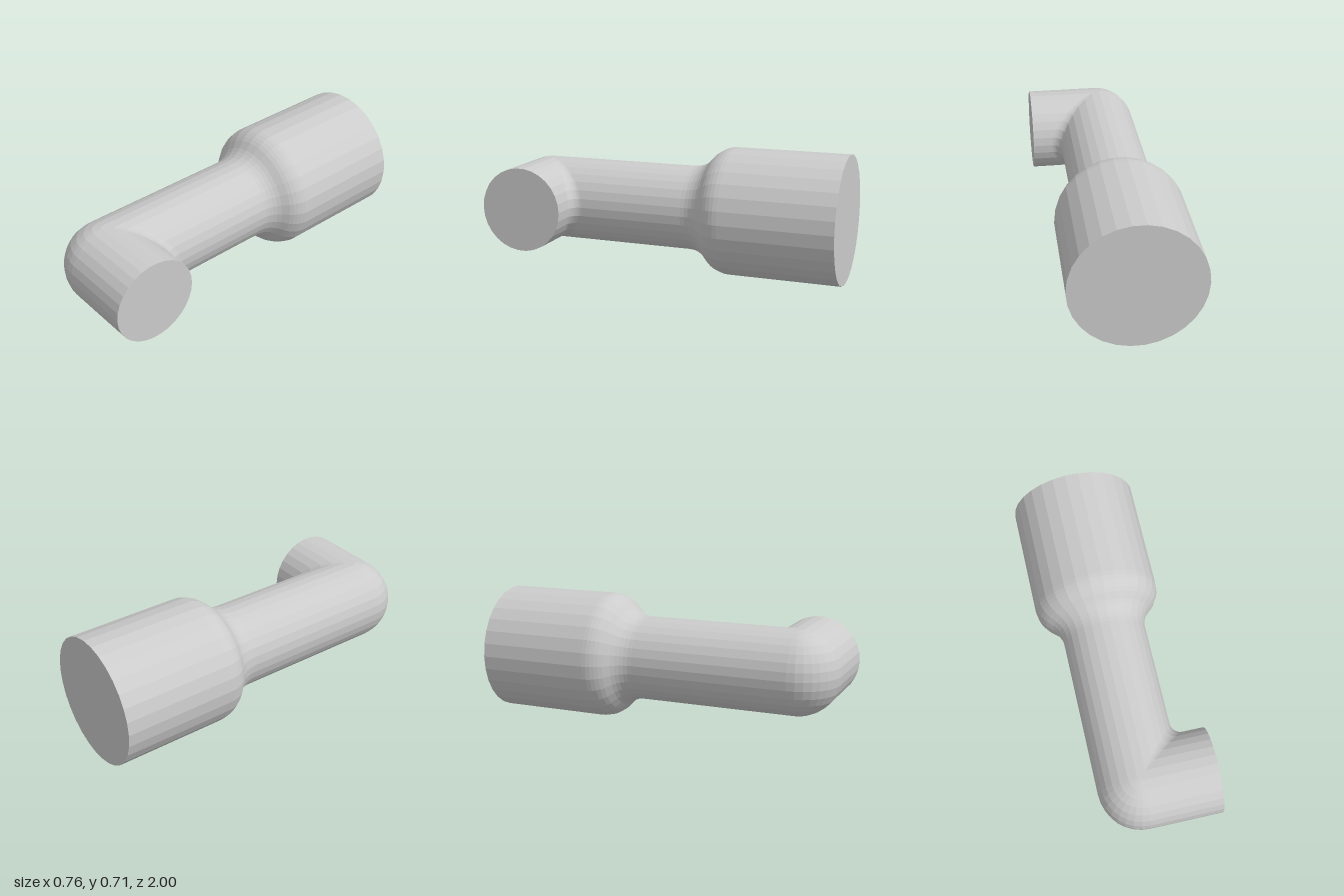
import * as THREE from 'three';

const SIDES = 30;
const CX = -0.025, CY = 0.356, CZ = 0.763; // pipe axis and elbow corner
const NECK = 0.237, SOCKET = 0.357;        // the two radii
const FLARE_START = 0.125, FLARE_END = 0.37; // distances behind the origin
const ARM_END = 0.38;

// Wide socket, S-shaped flare and closed back, turned around the pipe axis
function socketGeometry() {
  const rise = SOCKET - NECK, run = FLARE_END - FLARE_START;
  const sweep = 2 * Math.atan(rise / run);
  const r = run / 2 / Math.sin(sweep);
  const points = [];
  const steps = 6;
  for (let i = 0; i <= steps; i++) { // concave arc leaving the neck
    const a = sweep * i / steps;
    points.push(new THREE.Vector2(NECK + r * (1 - Math.cos(a)), FLARE_START + r * Math.sin(a)));
  }
  for (let i = steps - 1; i >= 0; i--) { // convex arc meeting the socket
    const a = sweep * i / steps;
    points.push(new THREE.Vector2(SOCKET - r * (1 - Math.cos(a)), FLARE_END - r * Math.sin(a)));
  }
  points.push(new THREE.Vector2(SOCKET, 1), new THREE.Vector2(0, 1));
  return new THREE.LatheGeometry(points, SIDES, Math.PI / 2)
    .rotateX(-Math.PI / 2).translate(CX, CY, 0);
}

// Neck and side arm: each line along the pipe runs straight, turns 90 degrees, runs straight.
// Outside the bend it turns about the corner; inside it has a small tapering fillet.
function elbowGeometry() {
  const turns = 8, rings = turns + 3;
  const positions = [], index = [];
  for (let k = 0; k < rings; k++) {
    for (let j = 0; j < SIDES; j++) {
      const angle = j / SIDES * Math.PI * 2;
      const u = NECK * Math.cos(angle), y = CY + NECK * Math.sin(angle);
      const bend = u < 0 ? -u : 0.06 * u / NECK;
      const offset = bend + u;
      const t = (k - 1) / turns * Math.PI / 2;
      if (k === 0) positions.push(CX + u, y, -FLARE_START);
      else if (k === rings - 1) positions.push(ARM_END, y, CZ - u);
      else positions.push(CX + offset - bend * Math.cos(t), y, CZ - offset + bend * Math.sin(t));
    }
  }
  for (let k = 0; k < rings - 1; k++) {
    for (let j = 0; j < SIDES; j++) {
      const a = k * SIDES + j, b = k * SIDES + (j + 1) % SIDES;
      index.push(a, b, a + SIDES, b, b + SIDES, a + SIDES);
    }
  }
  const geometry = new THREE.BufferGeometry();
  geometry.setAttribute('position', new THREE.Float32BufferAttribute(positions, 3));
  geometry.setIndex(index);
  geometry.computeVertexNormals();
  return geometry;
}

export function createModel() {
  const group = new THREE.Group();
  group.name = 'pipeElbow';
  const material = new THREE.MeshStandardMaterial({ color: 0xcccccc, flatShading: true });
  const add = (name, geometry) => {
    const mesh = new THREE.Mesh(geometry, material);
    mesh.name = name;
    group.add(mesh);
  };

  add('socket', socketGeometry());
  add('elbow', elbowGeometry());
  // Flat disc closing the side arm
  add('armEnd', new THREE.CircleGeometry(NECK, SIDES).rotateY(Math.PI / 2).translate(ARM_END, CY, CZ));
  return group;
}
